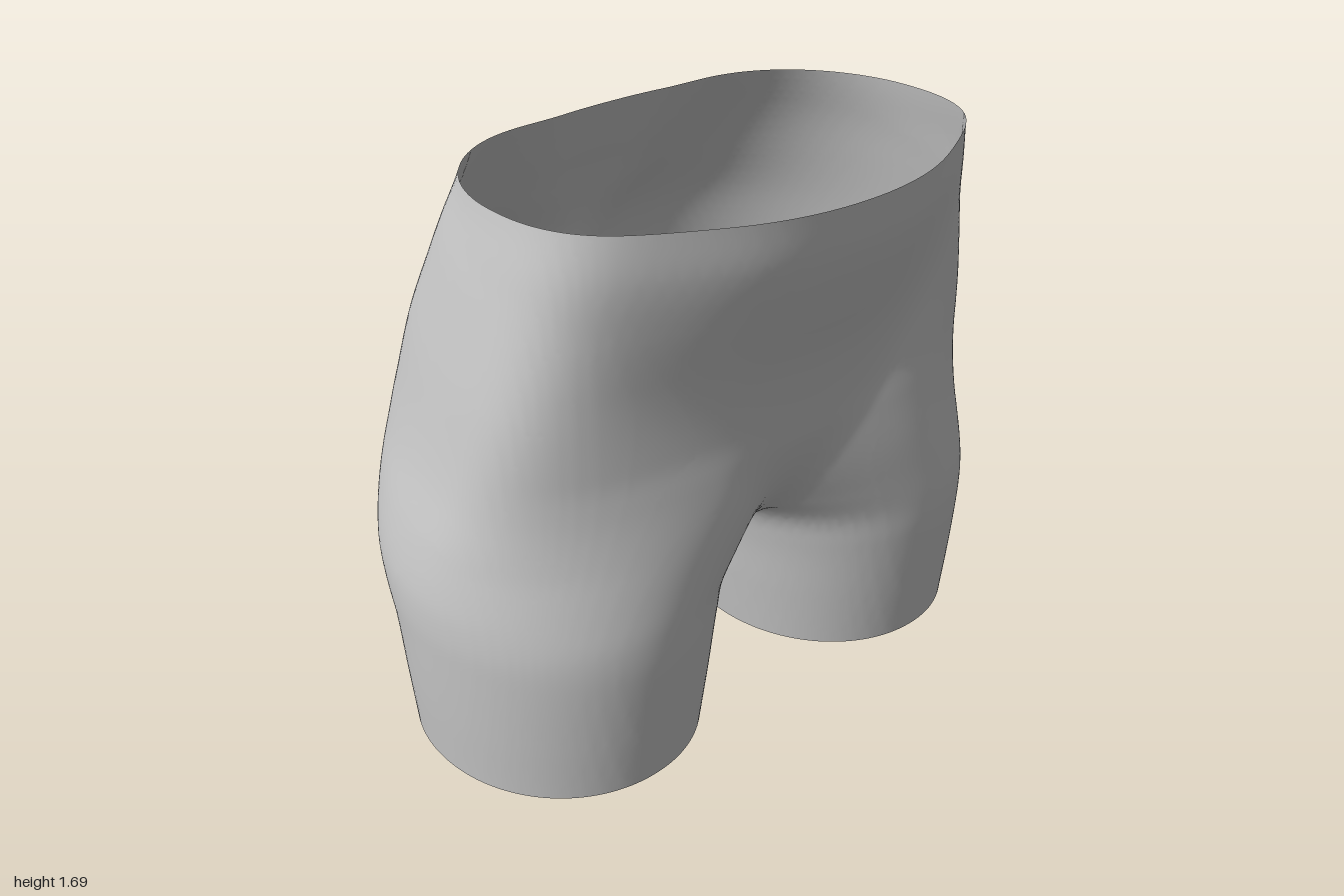
import * as THREE from 'three';

const TOP = 1.69;
const { lerp, clamp, smoothstep } = THREE.MathUtils;

// Leg and hip sections: height, outer x, inner x, front z, back z
const LEG = [
  [0, 0.96, 0.135, 0.485, -0.415],
  [0.2, 0.98, 0.105, 0.505, -0.425],
  [0.4, 0.995, 0.075, 0.52, -0.452],
  [0.5, 1.0, 0.045, 0.52, -0.515],
  [0.6, 0.995, -0.04, 0.515, -0.597],
  [0.75, 0.967, -0.17, 0.505, -0.678],
  [0.9, 0.927, -0.26, 0.488, -0.702],
  [1.0, 0.905, -0.27, 0.475, -0.688],
  [1.2, 0.867, -0.22, 0.465, -0.615],
  [1.4, 0.823, -0.12, 0.475, -0.488],
  [1.55, 0.787, -0.05, 0.487, -0.39],
  [TOP, 0.742, 0, 0.495, -0.3],
];

// Belly sections: height, half width, front z, back z
const BELLY = [
  [0.5, 0.13, 0.2, -0.14],
  [0.6, 0.19, 0.29, -0.2],
  [0.75, 0.28, 0.385, -0.32],
  [0.9, 0.39, 0.46, -0.45],
  [1.0, 0.46, 0.493, -0.51],
  [1.2, 0.59, 0.555, -0.53],
  [1.4, 0.67, 0.632, -0.46],
  [1.55, 0.705, 0.68, -0.39],
  [TOP, 0.715, 0.703, -0.325],
];

// Smooth interpolation of a section table at height y
function section(table, y) {
  const last = table.length - 1;
  if (y <= table[0][0]) return table[0];
  if (y >= table[last][0]) return table[last];
  let i = 0;
  while (y > table[i + 1][0]) i++;
  const a = table[i], b = table[i + 1];
  const p = table[Math.max(i - 1, 0)], n = table[Math.min(i + 2, last)];
  const d = b[0] - a[0], t = (y - a[0]) / d, t2 = t * t, t3 = t2 * t;
  return a.map((v, k) => {
    const m0 = (b[k] - p[k]) / (b[0] - p[0]) * d;
    const m1 = (n[k] - v) / (n[0] - a[0]) * d;
    return (2 * t3 - 3 * t2 + 1) * v + (t3 - 2 * t2 + t) * m0 + (3 * t2 - 2 * t3) * b[k] + (t3 - t2) * m1;
  });
}

// Radial distance to a rounded oval with separate front and back depths
function oval(x, z, rx, front, back, n) {
  const rz = z > 0 ? front : back;
  const k = (Math.abs(x / rx) ** n + Math.abs(z / rz) ** n) ** (1 / n);
  return k < 1e-6 ? -Math.min(rx, rz) : Math.hypot(x, z) * (1 - 1 / k);
}

function blend(a, b, k) {
  const h = Math.max(k - Math.abs(a - b), 0);
  return Math.min(a, b) - h * h / (4 * k);
}

// Body field at one height: two legs and the belly melted together
function slice(y) {
  const [, outer, inner, front, back] = section(LEG, y);
  const [, width, bellyFront, bellyBack] = section(BELLY, y);
  const cx = (outer + inner) / 2, rx = (outer - inner) / 2;
  const cz = lerp(0.03, 0.13, smoothstep(y, 0.5, 1.2));
  const bz = lerp(0, 0.12, smoothstep(y, 0.5, 1.3));
  const frontCurve = lerp(2.05, 2.9, smoothstep(y, 0.7, 1.3));
  const backCurve = lerp(2.05, 1.92, smoothstep(y, 0.5, 0.8));
  const below = Math.max(0, 0.57 - y) * 2.2;
  return (x, z) => {
    const n = z > cz ? frontCurve : backCurve;
    const leg = s => oval(x * s - cx, z - cz, rx, front - cz, cz - back, n);
    const legs = blend(leg(1), leg(-1), lerp(0.03, 0.12, smoothstep(z, -0.5, -0.1)));
    const belly = oval(x, z - bz, width, bellyFront - bz, bz - bellyBack, z > bz ? 2.05 : 2.3) + below;
    return blend(legs, belly, lerp(0.07, 0.13, smoothstep(z, -0.1, 0.3)));
  };
}

// Skin the field with one shared vertex per crossed grid cell
function bodyGeometry() {
  const nx = 92, ny = 78, nz = 70;
  const hx = 2.16 / (nx - 1), hy = TOP / (ny - 3), hz = 1.6 / (nz - 1);
  const at = (i, j, k) => i + nx * (j + ny * k);
  const values = new Float32Array(nx * ny * nz);
  for (let j = 0; j < ny; j++) {
    const f = slice((j - 1) * hy);
    for (let k = 0; k < nz; k++)
      for (let i = 0; i < nx; i++) values[at(i, j, k)] = f(-1.08 + i * hx, -0.8 + k * hz);
  }

  const positions = [], index = [];
  const vertexOf = new Int32Array(values.length).fill(-1);
  const step = [1, nx, nx * ny];

  for (let k = 0; k < nz - 1; k++)
    for (let j = 0; j < ny - 1; j++)
      for (let i = 0; i < nx - 1; i++) {
        const base = at(i, j, k), sum = [0, 0, 0];
        let count = 0;
        // Average the crossings on the twelve cell edges
        for (let c = 0; c < 8; c++)
          for (let a = 0; a < 3; a++) {
            if (c & (1 << a)) continue;
            const o = [c & 1, (c >> 1) & 1, c >> 2];
            const s = base + o[0] * step[0] + o[1] * step[1] + o[2] * step[2];
            const v0 = values[s], v1 = values[s + step[a]];
            if ((v0 < 0) === (v1 < 0)) continue;
            o[a] = v0 / (v0 - v1);
            for (let m = 0; m < 3; m++) sum[m] += o[m];
            count++;
          }
        if (!count) continue;
        let x = -1.08 + (i + sum[0] / count) * hx;
        let y = clamp((j - 1 + sum[1] / count) * hy, 0, TOP);
        let z = -0.8 + (k + sum[2] / count) * hz;
        // Pull the vertex onto the smooth surface, keeping the open rims level
        const e = 0.002, level = slice(y), f = level(x, z);
        const gx = (level(x + e, z) - f) / e, gz = (level(x, z + e) - f) / e;
        const gy = y > 0 && y < TOP ? (slice(y + e)(x, z) - f) / e : 0;
        const pull = f / Math.max(gx * gx + gy * gy + gz * gz, 0.4);
        x -= clamp(pull * gx, -0.01, 0.01);
        y = clamp(y - clamp(pull * gy, -0.01, 0.01), 0, TOP);
        z -= clamp(pull * gz, -0.01, 0.01);
        vertexOf[base] = positions.length / 3;
        positions.push(x, y, z);
      }

  // One quad around every crossed grid edge
  for (let k = 1; k < nz - 1; k++)
    for (let j = 0; j < ny - 1; j++)
      for (let i = 1; i < nx - 1; i++)
        for (let a = 0; a < 3; a++) {
          if (j === 0 && a !== 1) continue;
          const s = at(i, j, k), inside = values[s] < 0;
          if (inside === (values[s + step[a]] < 0)) continue;
          const u = step[(a + 1) % 3], v = step[(a + 2) % 3];
          const q = [s - u - v, s - v, s, s - u].map(c => vertexOf[c]);
          if (!inside) q.reverse();
          index.push(q[0], q[1], q[2], q[0], q[2], q[3]);
        }

  const geometry = new THREE.BufferGeometry();
  geometry.setAttribute('position', new THREE.Float32BufferAttribute(positions, 3));
  geometry.setIndex(index);
  geometry.computeVertexNormals();
  return geometry;
}

export function createModel() {
  const group = new THREE.Group();
  group.name = 'lowerBodyForm';
  const shell = new THREE.MeshStandardMaterial({ color: 0xc8c8c8, side: THREE.DoubleSide });
  shell.name = 'light grey';
  // Open shell: waist rim at the top, two open thighs below
  const body = new THREE.Mesh(bodyGeometry(), shell);
  body.name = 'hipsAndThighs';
  group.add(body);
  return group;
}
